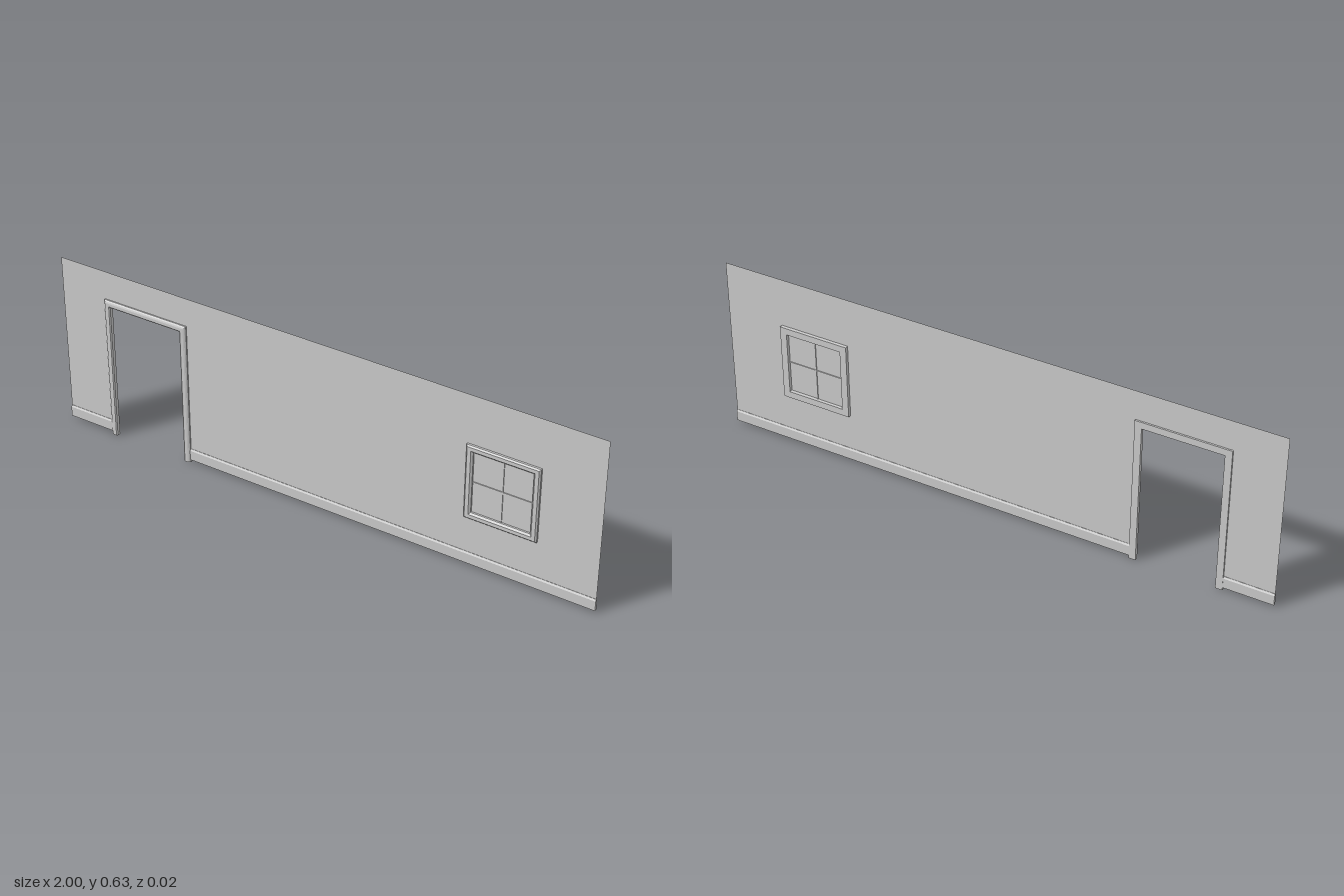
import * as THREE from 'three';

const mat = new THREE.MeshStandardMaterial({ color: 0xcccccc, side: THREE.DoubleSide });

// Mitred frame: corners are [x, y, inwardX, inwardY]; profile is a convex loop of [inset, z]
function mitredFrame(corners, profile, closed) {
  const at = (i, j) => {
    const [x, y, dx, dy] = corners[i % corners.length];
    const [d, z] = profile[j % profile.length];
    return [x + dx * d, y + dy * d, z];
  };
  const pos = [];
  const n = corners.length, m = profile.length;
  const spans = closed ? n : n - 1;
  for (let i = 0; i < spans; i++) {
    for (let j = 0; j < m; j++) {
      const a = at(i, j), b = at(i, j + 1), c = at(i + 1, j + 1), d = at(i + 1, j);
      pos.push(...a, ...b, ...c, ...a, ...c, ...d);
    }
  }
  // end caps
  for (let j = 1; !closed && j < m - 1; j++) {
    pos.push(...at(0, 0), ...at(0, j + 1), ...at(0, j));
    pos.push(...at(n - 1, 0), ...at(n - 1, j), ...at(n - 1, j + 1));
  }
  const geo = new THREE.BufferGeometry();
  geo.setAttribute('position', new THREE.Float32BufferAttribute(pos, 3));
  geo.computeVertexNormals();
  return geo;
}

function polygon(points) {
  return new THREE.Shape(points.map(([x, y]) => new THREE.Vector2(x, y)));
}

export function createModel() {
  const group = new THREE.Group();
  const add = (name, geo, x = 0, y = 0, z = 0) => {
    const mesh = new THREE.Mesh(geo, mat);
    mesh.name = name;
    mesh.position.set(x, y, z);
    group.add(mesh);
    return mesh;
  };

  // Door and window outlines
  const door = { l: -0.827, r: -0.502, t: 0.531 };
  const win = { l: 0.535, r: 0.79, b: 0.186, t: 0.459 };
  const cx = (win.l + win.r) / 2, cy = (win.b + win.t) / 2;

  // Thin wall with doorway notch and window hole
  const base = 0.01, top = 0.635, k = 0.012;
  const wall = polygon([
    [-1, base], [door.l + k, base], [door.l + k, door.t - k], [door.r - k, door.t - k],
    [door.r - k, base], [1, base], [1, top], [-1, top],
  ]);
  wall.holes.push(polygon([
    [win.l + k, win.b + k], [win.l + k, win.t - k], [win.r - k, win.t - k], [win.r - k, win.b + k],
  ]));
  add('wall', new THREE.ShapeGeometry(wall));

  // Skirting boards wrapping both wall faces, on each side of the door
  const skirtingProfile = polygon([
    [-0.005, base], [0.005, base], [0.005, 0.046], [0.001, 0.052], [-0.001, 0.052], [-0.005, 0.046],
  ]);
  for (const [name, x0, x1] of [['skirtingRight', -1, door.l + k], ['skirtingLeft', door.r - k, 1]]) {
    const geo = new THREE.ExtrudeGeometry(skirtingProfile, { depth: x1 - x0, bevelEnabled: false });
    add(name, geo.rotateY(Math.PI / 2), x0);
  }

  // Door casing: two jambs and a head
  add('doorFrame', mitredFrame(
    [[door.l, 0, 1, 0], [door.l, door.t, 1, -1], [door.r, door.t, -1, -1], [door.r, 0, -1, 0]],
    [[0, -0.006], [0, 0.004], [0.004, 0.008], [0.009, 0.01], [0.02, 0.01], [0.024, 0.007], [0.024, -0.006]],
    false));

  // Window casing
  add('windowFrame', mitredFrame(
    [[win.l, win.b, 1, 1], [win.l, win.t, 1, -1], [win.r, win.t, -1, -1], [win.r, win.b, -1, 1]],
    [[0, -0.012], [0, 0.007], [0.005, 0.012], [0.018, 0.012], [0.024, 0.006], [0.024, -0.012]],
    true));

  // Pane and glazing bars
  const w = win.r - win.l - 0.04, h = win.t - win.b - 0.04;
  add('windowPane', new THREE.PlaneGeometry(w, h), cx, cy);
  add('verticalGlazingBar', new THREE.BoxGeometry(0.004, h, 0.006), cx, cy);
  add('horizontalGlazingBar', new THREE.BoxGeometry(w, 0.004, 0.006), cx, cy);

  return group;
}
